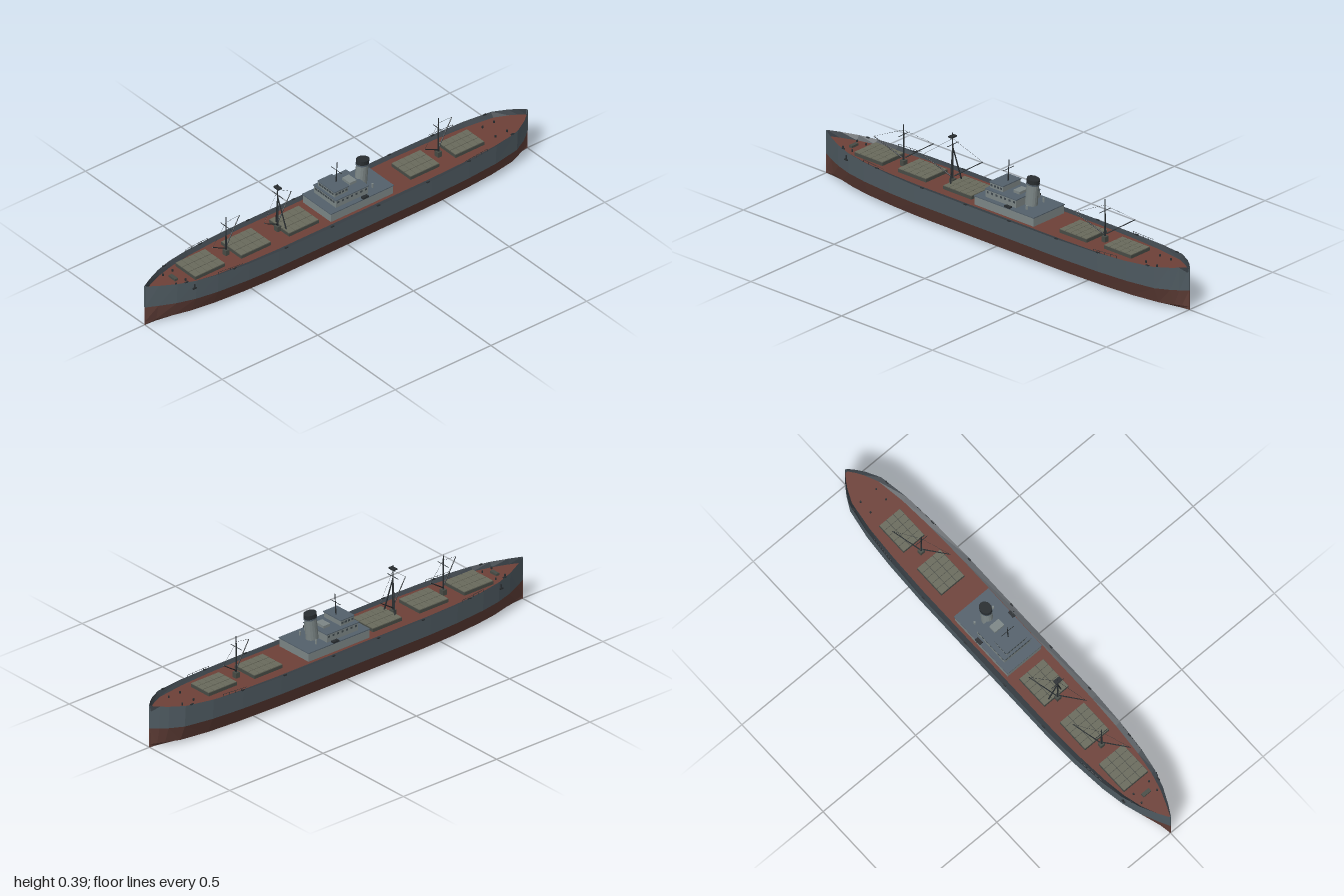
import * as THREE from 'three';

const mat = (name, color, side = THREE.FrontSide) => {
  const m = new THREE.MeshStandardMaterial({ color, side, flatShading: true });
  m.name = name;
  return m;
};

export function createModel() {
  const ship = new THREE.Group();
  ship.name = 'cargoShip';
  const slate = mat('hullSlate', 0x4f5b62);
  const red = mat('hullRed', 0x603e37);
  const deckRed = mat('deckRed', 0x6d4037, THREE.DoubleSide);
  const inner = mat('bulwarkDark', 0x383f45, THREE.DoubleSide);
  const grey = mat('houseGrey', 0x7c8686);
  const roofMat = mat('roofBlueGrey', 0x53606b);
  const olive = mat('hatchOlive', 0x696a5c);
  const coamingMat = mat('coamingDark', 0x474b45);
  const dark = mat('riggingDark', 0x282d30);
  const glass = mat('windowDark', 0x3f484d);

  const add = (name, geo, material, parent = ship) => {
    const m = new THREE.Mesh(geo, material);
    m.name = name;
    parent.add(m);
    return m;
  };
  // Box given by its centre in x and z, and its bottom
  const box = (name, w, h, d, x, y, z, material, parent) => {
    const m = add(name, new THREE.BoxGeometry(w, h, d), material, parent);
    m.position.set(x, y + h / 2, z);
    return m;
  };
  // Round bar between two points
  const bar = (name, a, b, r0, r1 = r0, material = dark, parent = ship) => {
    const p = new THREE.Vector3(...a), q = new THREE.Vector3(...b), dir = q.clone().sub(p);
    const m = add(name, new THREE.CylinderGeometry(r1, r0, dir.length(), 6), material, parent);
    m.position.copy(p).add(q).multiplyScalar(0.5);
    m.quaternion.setFromUnitVectors(new THREE.Vector3(0, 1, 0), dir.normalize());
    return m;
  };

  // Hull stations: z and deck half width as a fraction of the beam
  const stations = [[-1, 0.02], [-0.97, 0.24], [-0.94, 0.42], [-0.88, 0.68], [-0.75, 0.86], [-0.6, 0.95],
    [-0.4, 1], [0, 1], [0.4, 1], [0.55, 0.95], [0.7, 0.84], [0.8, 0.7], [0.88, 0.5], [0.95, 0.24], [1, 0.02]];
  const beam = 0.128, deckY = 0.163;
  const sheer = z => 0.168 + 0.022 * Math.pow(Math.abs(z), 3);
  const halfWidth = z => {
    const i = Math.max(1, stations.findIndex(s => s[0] >= z));
    const [a, b] = [stations[i - 1], stations[i]];
    return beam * (a[1] + (b[1] - a[1]) * (z - a[0]) / (b[0] - a[0]));
  };
  // Skin strip between two section lines on both sides
  const strip = (name, lower, upper, material) => {
    const pos = [], idx = [];
    for (const s of [1, -1]) {
      const base = pos.length / 3;
      for (const [z, f] of stations) {
        for (const [x, y] of [lower(z, f), upper(z, f)]) pos.push(s * x, y, z);
      }
      for (let i = 0; i < stations.length - 1; i++) {
        const a = base + i * 2, b = a + 1, c = a + 2, d = a + 3;
        if (s > 0) idx.push(a, b, c, b, d, c);
        else idx.push(a, c, b, b, c, d);
      }
    }
    const g = new THREE.BufferGeometry();
    g.setAttribute('position', new THREE.Float32BufferAttribute(pos, 3));
    g.setIndex(idx);
    const flat = g.toNonIndexed();
    flat.computeVertexNormals();
    return add(name, flat, material);
  };
  const level = (w, y, p) => (z, f) => [w * Math.pow(f, p), y];
  const keel = level(0, 0, 1), flatBottom = level(0.045, 0, 1.6), bilge = level(0.09, 0.014, 1.35);
  const waterline = level(0.122, 0.086, 1.05);
  const gunwale = (z, f) => [beam * f, sheer(z)];
  const deckEdge = (z, f) => [beam * f * 0.82, deckY];
  strip('bottom', keel, flatBottom, red);
  strip('bilge', flatBottom, bilge, red);
  strip('lowerHull', bilge, waterline, red);
  strip('upperHull', waterline, gunwale, slate);
  strip('bulwarkInside', gunwale, deckEdge, inner);
  strip('deck', deckEdge, level(0, deckY, 1), deckRed);
  for (const z of [-0.998, 0.998]) {
    box('lowerStem', 0.005, 0.086, 0.004, 0, 0, z, red);
    box('upperStem', 0.006, 0.104, 0.004, 0, 0.086, z, slate);
  }

  // Cargo hatches: coaming and planked covers
  for (const [z, w, d] of [[0.71, 0.13, 0.155], [0.47, 0.13, 0.155], [0.22, 0.13, 0.155],
    [-0.415, 0.124, 0.15], [-0.655, 0.112, 0.15]]) {
    const hatch = new THREE.Group();
    hatch.name = 'hatch';
    ship.add(hatch);
    box('coaming', w, 0.015, d, 0, deckY - 0.001, z, coamingMat, hatch);
    for (let i = 0; i < 5; i++) for (let j = 0; j < 3; j++) {
      box('hatchBoard', w / 3 - 0.003, 0.004, d / 5 - 0.002, (j - 1) * w / 3, 0.176,
        z + (i - 2) * d / 5, olive, hatch);
    }
  }

  // Deckhouse tiers with overhanging roofs: half width, bottom, top, back, front
  for (const [hw, y0, y1, zb, zf] of [[0.091, 0.16, 0.2, -0.225, 0.1],
    [0.071, 0.203, 0.238, -0.11, 0.058], [0.053, 0.241, 0.265, -0.02, 0.05]]) {
    const d = zf - zb, z = (zf + zb) / 2;
    box('houseWall', hw * 2, y1 - y0, d, 0, y0, z, grey);
    box('houseRoof', hw * 2 + 0.005, 0.004, d + 0.005, 0, y1, z, roofMat);
  }
  // Windows on the front and sides of the two upper tiers
  const windowRow = (hw, y, zf, zb, n, m) => {
    for (let i = 0; i < n; i++) {
      box('frontWindow', hw * 1.3 / n, 0.009, 0.002, (i - (n - 1) / 2) * hw * 1.85 / n, y, zf, glass);
    }
    for (const s of [1, -1]) for (let i = 0; i < m; i++) {
      box('sideWindow', 0.002, 0.009, 0.01, s * hw, y, zb + (zf - zb) * (i + 0.5) / m, glass);
    }
  };
  windowRow(0.071, 0.223, 0.058, -0.11, 8, 7);
  windowRow(0.053, 0.25, 0.05, -0.02, 6, 4);
  box('skylight', 0.05, 0.012, 0.035, 0, 0.242, -0.07, grey);

  // Raked funnel with dark cap
  const funnel = new THREE.Group();
  funnel.name = 'funnel';
  const tube = add('funnelTube', new THREE.CylinderGeometry(0.023, 0.024, 0.1, 16), grey, funnel);
  tube.position.y = 0.05;
  const cap = add('funnelCap', new THREE.CylinderGeometry(0.0245, 0.0245, 0.02, 16), dark, funnel);
  cap.position.y = 0.11;
  const rim = add('funnelBand', new THREE.CylinderGeometry(0.025, 0.025, 0.006, 16), roofMat, funnel);
  rim.position.y = 0.098;
  funnel.scale.z = 1.2;
  funnel.position.set(0, 0.203, -0.128);
  funnel.rotation.x = -0.1;
  ship.add(funnel);
  for (const s of [1, -1]) {
    bar('ventPipe', [s * 0.05, 0.203, -0.15], [s * 0.05, 0.222, -0.15], 0.005, 0.005, grey);
  }

  // Signal mast on the bridge
  bar('signalMast', [0, 0.266, 0], [0, 0.365, -0.006], 0.003, 0.0015);
  bar('signalYard', [-0.033, 0.325, -0.003], [0.033, 0.325, -0.003], 0.0013);

  // Cargo masts with yard, booms and lines
  const cargoMast = (z, top, yardY) => {
    const g = new THREE.Group();
    g.name = 'cargoMast';
    ship.add(g);
    bar('mastPole', [0, deckY, z], [0, top, z], 0.0045, 0.002, dark, g);
    bar('yard', [-0.033, yardY, z], [0.033, yardY, z], 0.0014, 0.0014, dark, g);
    for (const s of [1, -1]) {
      const tip = [s * 0.055, 0.276, z + s * 0.115];
      bar('boom', [s * 0.005, 0.198, z + s * 0.005], tip, 0.0028, 0.0018, dark, g);
      bar('toppingLine', tip, [0, top - 0.025, z], 0.0005, 0.0005, dark, g);
    }
    box('mastBase', 0.022, 0.024, 0.02, 0, deckY, z, coamingMat, g);
  };
  cargoMast(0.575, 0.345, 0.3);
  cargoMast(0.305, 0.39, 0.338);
  cargoMast(-0.535, 0.35, 0.3);
  // Tripod legs and lookout platform on the middle mast
  for (const s of [1, -1]) {
    bar('tripodLeg', [s * 0.036, deckY, 0.285], [0, 0.33, 0.305], 0.0035, 0.0025);
  }
  box('lookout', 0.032, 0.006, 0.02, 0, 0.371, 0.305, dark);

  for (const s of [1, -1]) {
    // Deck guns beside the bridge
    const gun = new THREE.Group();
    gun.name = 'deckGun';
    ship.add(gun);
    box('gunMount', 0.016, 0.007, 0.03, s * 0.088, 0.204, -0.08, dark, gun);
    bar('gunBarrel', [s * 0.088, 0.207, -0.08], [s * 0.103, 0.218, -0.08], 0.0016, 0.001, dark, gun);
    // Bow anchors
    bar('anchorShank', [s * 0.089, 0.165, 0.81], [s * 0.088, 0.145, 0.81], 0.003);
    box('anchorFlukes', 0.007, 0.006, 0.018, s * 0.088, 0.142, 0.81, dark);
    // Rails along the gunwale
    for (const [z0, z1] of [[0.58, 0.7], [-0.7, -0.58]]) {
      const at = (t, h) => {
        const z = z0 + (z1 - z0) * t;
        return [s * (halfWidth(z) - 0.003), sheer(z) + h, z];
      };
      bar('rail', at(0, 0.009), at(1, 0.009), 0.0008);
      for (let i = 0; i < 5; i++) bar('railPost', at(i / 4, -0.002), at(i / 4, 0.009), 0.0008);
    }
    // Fairleads and bollards along the deck edge
    for (const z of [-0.85, -0.6, -0.38, -0.12, 0.12, 0.36, 0.62, 0.84]) {
      box('fairlead', 0.006, 0.004, 0.016, s * (halfWidth(z) - 0.003), sheer(z) - 0.002, z, dark);
    }
    for (const z of [-0.86, -0.8, 0.82, 0.87]) {
      bar('bollard', [s * 0.042, deckY, z], [s * 0.042, deckY + 0.009, z], 0.004);
    }
  }
  box('windlass', 0.04, 0.01, 0.016, 0, deckY, 0.85, coamingMat);
  return ship;
}
